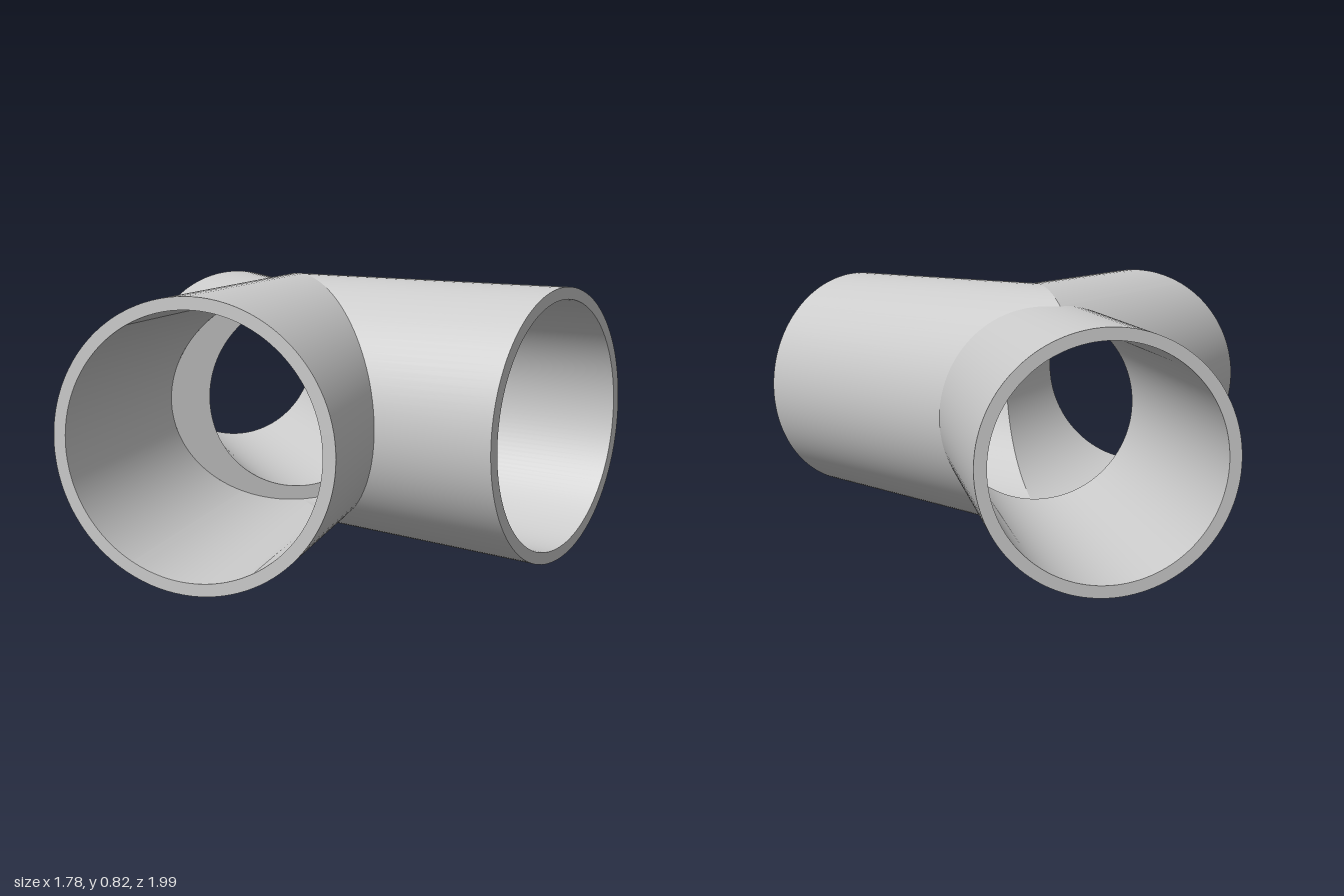
import * as THREE from 'three';

const CY = 0.412;              // height of all pipe axes
const ZJ = -0.036;             // z where the axes meet
const R = 0.411, RB = 0.375;   // branch outer and bore radius
const S = 0.362, SB = 0.327;   // stem outer and bore radius
const LEN = 0.968;             // branch length from the junction
const ANG = THREE.MathUtils.degToRad(35);
const sin = Math.sin(ANG), cos = Math.cos(ANG);

const material = new THREE.MeshStandardMaterial({ color: 0xcccccc, side: THREE.DoubleSide });

// Closed strip between two rings of points
function loft(name, a, b) {
  const n = a.length, index = [];
  for (let i = 0; i < n; i++) {
    const j = (i + 1) % n;
    index.push(i, j, n + i, j, n + j, n + i);
  }
  const g = new THREE.BufferGeometry().setFromPoints([...a, ...b]);
  g.setIndex(index);
  g.computeVertexNormals();
  const mesh = new THREE.Mesh(g, material);
  mesh.name = name;
  return mesh;
}

function range(from, to, n) {
  return Array.from({ length: n }, (_, i) => from + (to - from) * i / n);
}

// Angles round a branch, with samples on every corner of the joint curve
function branchAngles() {
  const q = Math.PI / 2, k = Math.asin(S / R);
  return [
    ...range(-q, q, 64).map(u => Math.asin(S * Math.sin(u) / R)),
    ...range(k, q, 8), ...range(q, 3 * q, 56), ...range(3 * q, 4 * q - k, 8),
  ];
}

// Ring on a branch cylinder; along(d, y) gives the distance down the axis
function branchRing(side, radius, along) {
  return branchAngles().map(p => {
    const d = radius * Math.cos(p), y = radius * Math.sin(p), t = along(d, y);
    return new THREE.Vector3(side * (d * cos + t * sin), CY + y, ZJ - d * sin + t * cos);
  });
}

function branch(side, name) {
  const group = new THREE.Group();
  group.name = name;
  const add = (n, a, b) => group.add(side > 0 ? loft(n, a, b) : loft(n, b, a));
  // outside: mitred at the middle plane, trimmed where it enters the stem
  const outerCut = branchRing(side, R, (d, y) => {
    const x = d > 0 ? Math.sqrt(Math.max(0, S * S - y * y)) : 0;
    return (x - d * cos) / sin;
  });
  // bore: mitred at the middle plane, stopped by the flat step
  const boreCut = branchRing(side, RB, d => d > 0 ? d * sin / cos : -d * cos / sin);
  const outerEnd = branchRing(side, R, () => LEN);
  const boreEnd = branchRing(side, RB, () => LEN);
  add('branchOutside', outerCut, outerEnd);
  add('branchBore', boreEnd, boreCut);
  add('branchRim', outerEnd, boreEnd);
  return group;
}

// Ring round the stem axis; zAt(u) gives its depth
function stemRing(rx, ry, zAt) {
  return range(0, 2 * Math.PI, 128).map(u =>
    new THREE.Vector3(rx * Math.cos(u), CY + ry * Math.sin(u), zAt(u)));
}

function stem() {
  const group = new THREE.Group();
  group.name = 'stem';
  // curve where the stem meets the two branches
  const joint = stemRing(S, S, u => {
    const y = S * Math.sin(u), d = Math.sqrt(R * R - y * y);
    const t = (S * Math.abs(Math.cos(u)) - d * cos) / sin;
    return ZJ - d * sin + t * cos;
  });
  const outerEnd = stemRing(S, S, () => -1);
  const boreEnd = stemRing(SB, SB, () => -1);
  const boreStart = stemRing(SB, SB, () => ZJ);
  const stepEdge = stemRing(RB / cos, RB, () => ZJ);
  group.add(
    loft('stemOutside', outerEnd, joint),
    loft('stemBore', boreStart, boreEnd),
    loft('stemRim', boreEnd, outerEnd),
    loft('innerStep', stepEdge, boreStart),
  );
  return group;
}

export function createModel() {
  const model = new THREE.Group();
  model.name = 'pipeJunction';
  model.add(branch(1, 'leftBranch'), branch(-1, 'rightBranch'), stem());
  return model;
}
